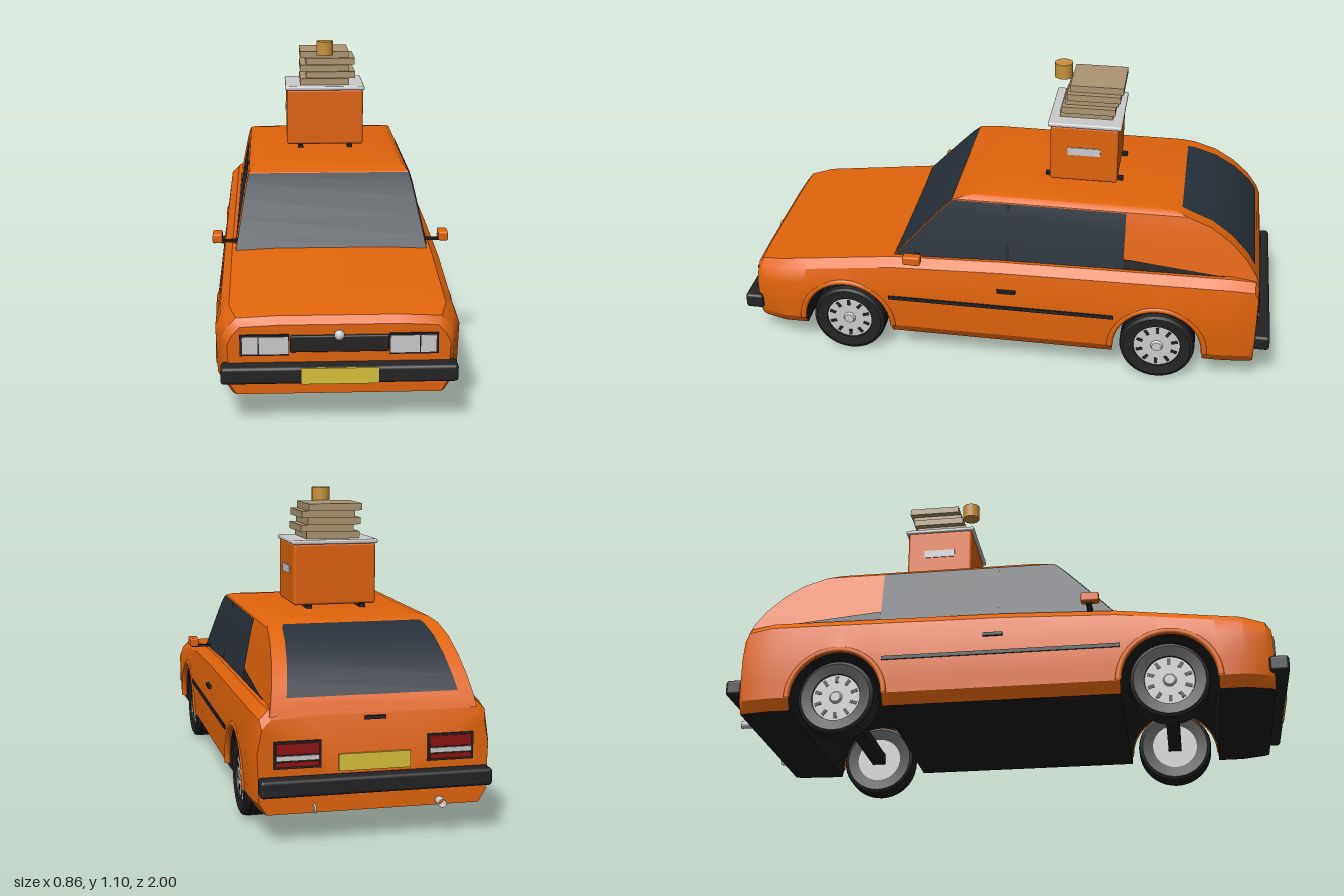
import * as THREE from 'three';
import { toCreasedNormals } from 'three/addons/utils/BufferGeometryUtils.js';
import { RoundedBoxGeometry } from 'three/addons/geometries/RoundedBoxGeometry.js';

const mat = (color) => new THREE.MeshStandardMaterial({ color, side: THREE.DoubleSide });
const orange = mat(0xe0640c), black = mat(0x232325), glass = mat(0x27303a), grey = mat(0xcccccc);
const floorMat = mat(0x1c1c1c), yellow = mat(0xd8c23c), red = mat(0x8e1212), wood = mat(0xab9673), gold = mat(0xc8923a);

// Piecewise linear lookup in rows [key, a, b, ...], keys rising
function lookup(rows, k) {
  let i = 0;
  while (i < rows.length - 2 && k > rows[i + 1][0]) i++;
  const [p, q] = [rows[i], rows[i + 1]];
  const t = THREE.MathUtils.clamp((k - p[0]) / (q[0] - p[0]), 0, 1);
  return p.slice(1).map((v, j) => THREE.MathUtils.lerp(v, q[j + 1], t));
}

// Skin over equal-length rings of [x, y, z]
function loft(rings, crease = 0.5) {
  const n = rings[0].length, index = [];
  for (let r = 0; r < rings.length - 1; r++) {
    for (let p = 0; p < n - 1; p++) {
      const a = r * n + p, d = a + n;
      index.push(a, d, d + 1, a, d + 1, a + 1);
    }
  }
  const g = new THREE.BufferGeometry();
  g.setAttribute('position', new THREE.Float32BufferAttribute(rings.flat(2), 3));
  g.setIndex(index);
  return toCreasedNormals(g, crease);
}

function add(parent, name, geometry, material, x = 0, y = 0, z = 0) {
  const m = new THREE.Mesh(geometry, material);
  m.name = name;
  m.position.set(x, y, z);
  parent.add(m);
  return m;
}
const box = (w, h, d) => new THREE.BoxGeometry(w, h, d);
const rbox = (w, h, d, r) => new RoundedBoxGeometry(w, h, d, 3, r);

const AXLES = [0.59, -0.59], ARCH = 0.168, HUB = 0.14;
// z, top edge height, width factor
const BODY = [[-0.945, 0.41, 0.955], [-0.93, 0.44, 0.97], [-0.84, 0.45, 1], [0, 0.44, 1], [0.41, 0.425, 1],
  [0.85, 0.372, 1], [0.93, 0.355, 0.935], [0.95, 0.33, 0.9]];
// y, front z, rear z, half width
const CABIN = [[0.42, 0.41, -0.945, 0.345], [0.46, 0.375, -0.93, 0.338], [0.52, 0.32, -0.89, 0.327],
  [0.58, 0.265, -0.83, 0.316], [0.63, 0.218, -0.755, 0.306], [0.66, 0.185, -0.67, 0.298],
  [0.675, 0.12, -0.62, 0.28], [0.682, 0.05, -0.57, 0.25]];

function buildBody(car) {
  // Stations from nose to tail, with the wheel arches lifting the lower edge
  const stations = BODY.map((b) => [b[0], 0.1]);
  for (const c of AXLES) {
    for (let i = 0; i <= 16; i++) {
      const a = Math.PI * i / 16;
      stations.push([c + ARCH * Math.cos(a), HUB + ARCH * Math.sin(a)]);
    }
    stations.push([c + ARCH + 0.0005, 0.1], [c - ARCH - 0.0005, 0.1]);
  }
  stations.sort((a, b) => b[0] - a[0]);
  const shell = [], under = [];
  for (const [z, yb] of stations) {
    const [yt, s] = lookup(BODY, z);
    const widths = [[0.1, 0.372], [0.14, 0.398], [Math.min(0.3, yt - 0.06), 0.404], [yt - 0.03, 0.388], [yt, 0.358]];
    const side = [0.1, 0.14, 0.2, widths[2][0], yt - 0.03, yt].map((l) => {
      const y = Math.max(yb, l);
      return [lookup(widths, y)[0] * s, y, z];
    });
    shell.push([...side, [0.2, yt + 0.006, z], [-0.2, yt + 0.006, z], ...side.map(([x, y]) => [-x, y, z]).reverse()]);
    under.push([[-side[0][0], yb, z], [side[0][0], yb, z]]);
  }
  // Close both ends
  const cap = (ring) => ring.map(([, , z]) => [0, 0.1, z]);
  add(car, 'bodyShell', loft([cap(shell[0]), ...shell, cap(shell[shell.length - 1])]), orange);
  add(car, 'underside', loft(under), floorMat);
}

function buildCabin(car) {
  const rings = CABIN.map(([y, f, r, w]) => [[w, y, r], [w, y, f], [-w, y, f], [-w, y, r], [w, y, r]]);
  rings.push(rings[0].map(() => [0, 0.686, -0.25]));
  add(car, 'cabin', loft(rings), orange);

  // Glass panels follow the cabin surface between two heights
  const panel = (y0, y1, fn) => {
    const ys = [y0, ...CABIN.map((c) => c[0]).filter((y) => y > y0 && y < y1), y1];
    return loft(ys.map((y) => fn(y, ...lookup(CABIN, y))));
  };
  const e = 0.004;
  add(car, 'windscreen', panel(0.425, 0.658, (y, f, r, w) => [[w, y, f + e], [-w, y, f + e]]), glass);
  add(car, 'rearWindow', panel(0.475, 0.668, (y, f, r, w) => [[0.05 - w, y, r - e], [w - 0.05, y, r - e]]), glass);
  const sideGlass = panel(0.43, 0.658, (y, f, r, w) => [[w + e, y, -0.45], [w + e, y, f]]);
  const strip = loft([[[0.346, 0.44, -0.93], [0.346, 0.44, -0.45]], [[0.339, 0.485, -0.47], [0.339, 0.485, -0.45]]]);
  for (const s of [1, -1]) {
    add(car, 'sideWindows', sideGlass, glass).scale.x = s;
    add(car, 'quarterTrim', strip, black).scale.x = s;
    add(car, 'windowPillar', box(0.008, 0.225, 0.012), black, s * 0.322, 0.545, -0.02).rotation.z = s * 0.19;
  }
}

function buildWheel() {
  const g = new THREE.Group();
  g.name = 'wheel';
  // Tyre with tread grooves, axis along y before turning
  const pts = [[0.085, -0.04], [0.125, -0.045], [0.136, -0.039]];
  for (const h of [-0.022, 0, 0.022]) pts.push([0.14, h - 0.008], [0.14, h - 0.003], [0.134, h - 0.002], [0.134, h + 0.002], [0.14, h + 0.003]);
  pts.push([0.136, 0.039], [0.125, 0.045], [0.088, 0.04], [0.085, 0.03]);
  const tyre = new THREE.LatheGeometry(pts.map((p) => new THREE.Vector2(...p)), 40);
  add(g, 'tyre', toCreasedNormals(tyre, 0.5), black).rotation.z = -Math.PI / 2;
  add(g, 'rim', new THREE.CylinderGeometry(0.089, 0.089, 0.07, 32), grey).rotation.z = -Math.PI / 2;
  add(g, 'hubCap', new THREE.CylinderGeometry(0.018, 0.024, 0.01, 20), grey, 0.039).rotation.z = -Math.PI / 2;
  for (let i = 0; i < 10; i++) {
    const a = i * Math.PI / 5;
    add(g, 'rimSlot', box(0.004, 0.024, 0.012), black, 0.035, 0.068 * Math.cos(a), 0.068 * Math.sin(a)).rotation.x = a;
  }
  return g;
}

function buildSides(car) {
  const flare = new THREE.TorusGeometry(ARCH + 0.008, 0.012, 8, 28, Math.PI);
  const wheel = buildWheel();
  for (const s of [1, -1]) {
    for (const z of AXLES) {
      const w = wheel.clone();
      w.position.set(s * 0.34, HUB, z);
      w.rotation.y = s > 0 ? 0 : Math.PI;
      car.add(w);
      add(car, 'archFlare', flare, orange, s * 0.395, HUB, z).rotation.y = Math.PI / 2;
    }
    add(car, 'rubbingStrip', box(0.012, 0.014, 0.85), black, s * 0.402, 0.27, 0);
    add(car, 'doorHandle', box(0.012, 0.012, 0.07), black, s * 0.403, 0.34, -0.025);
    add(car, 'mirrorArm', box(0.09, 0.008, 0.02), black, s * 0.375, 0.437, 0.32);
    add(car, 'mirror', rbox(0.035, 0.034, 0.065, 0.006), orange, s * 0.412, 0.454, 0.325);
  }
}

function buildEnds(car) {
  // Front
  add(car, 'frontBumper', rbox(0.77, 0.058, 0.07, 0.012), black, 0, 0.18, 0.965);
  add(car, 'frontPlate', box(0.25, 0.054, 0.006), yellow, 0, 0.179, 0.9985);
  add(car, 'grille', rbox(0.32, 0.056, 0.02, 0.005), black, 0, 0.273, 0.951);
  add(car, 'noseBadge', new THREE.SphereGeometry(0.017, 20, 12), grey, 0, 0.302, 0.958);
  // Rear
  add(car, 'rearBumper', rbox(0.77, 0.058, 0.06, 0.012), black, 0, 0.197, -0.97);
  add(car, 'rearPlate', box(0.24, 0.056, 0.008), yellow, 0, 0.262, -0.949);
  add(car, 'tailgateLatch', box(0.07, 0.012, 0.01), black, 0, 0.405, -0.947);
  for (const s of [1, -1]) {
    add(car, 'headlightFrame', box(0.16, 0.07, 0.018), black, s * 0.243, 0.27, 0.95);
    add(car, 'headlight', box(0.095, 0.058, 0.01), grey, s * 0.213, 0.27, 0.957);
    add(car, 'indicator', box(0.05, 0.058, 0.01), grey, s * 0.29, 0.27, 0.956);
    add(car, 'tailLightFrame', box(0.155, 0.09, 0.012), black, s * 0.255, 0.295, -0.945);
    add(car, 'tailLight', box(0.14, 0.036, 0.01), red, s * 0.255, 0.315, -0.95);
    add(car, 'reverseLight', box(0.14, 0.016, 0.01), grey, s * 0.255, 0.285, -0.95);
    add(car, 'lowerTailLight', box(0.14, 0.016, 0.01), red, s * 0.255, 0.265, -0.95);
  }
  // Below the tail
  add(car, 'exhaust', new THREE.CylinderGeometry(0.014, 0.014, 0.1, 16, 1, true), grey, -0.22, 0.114, -0.935).rotation.x = Math.PI / 2;
  add(car, 'towEye', new THREE.TorusGeometry(0.012, 0.004, 8, 16), grey, 0.2, 0.115, -0.95).rotation.y = Math.PI / 2;
  add(car, 'rearAxle', box(0.6, 0.04, 0.05), floorMat, 0, HUB, AXLES[1]);
  add(car, 'frontAxle', box(0.6, 0.04, 0.05), floorMat, 0, HUB, AXLES[0]);
}

function buildCargo(car) {
  const cargo = new THREE.Group();
  cargo.name = 'roofCargo';
  car.add(cargo);
  add(cargo, 'crate', rbox(0.3, 0.22, 0.25, 0.01), orange, 0, 0.803, -0.275);
  add(cargo, 'crateLid', rbox(0.31, 0.016, 0.27, 0.006), grey, 0, 0.918, -0.275);
  for (const s of [1, -1]) {
    add(cargo, 'crateRunner', box(0.02, 0.012, 0.29), black, s * 0.097, 0.69, -0.275);
    add(cargo, 'crateHandle', box(0.006, 0.03, 0.12), grey, s * 0.15, 0.815, -0.275);
  }
  // Staggered stack of flat boxes
  for (let i = 0; i < 5; i++) {
    add(cargo, 'flatBox', box(0.193, 0.025, 0.195), wood, i % 2 ? 0.023 : 0, 0.939 + i * 0.0255, -0.275 - i * 0.009);
  }
  add(cargo, 'cup', new THREE.CylinderGeometry(0.033, 0.033, 0.055, 24), gold, 0, 1.073, -0.178);
}

export function createModel() {
  const car = new THREE.Group();
  car.name = 'car';
  buildBody(car);
  buildCabin(car);
  buildSides(car);
  buildEnds(car);
  buildCargo(car);
  return car;
}
